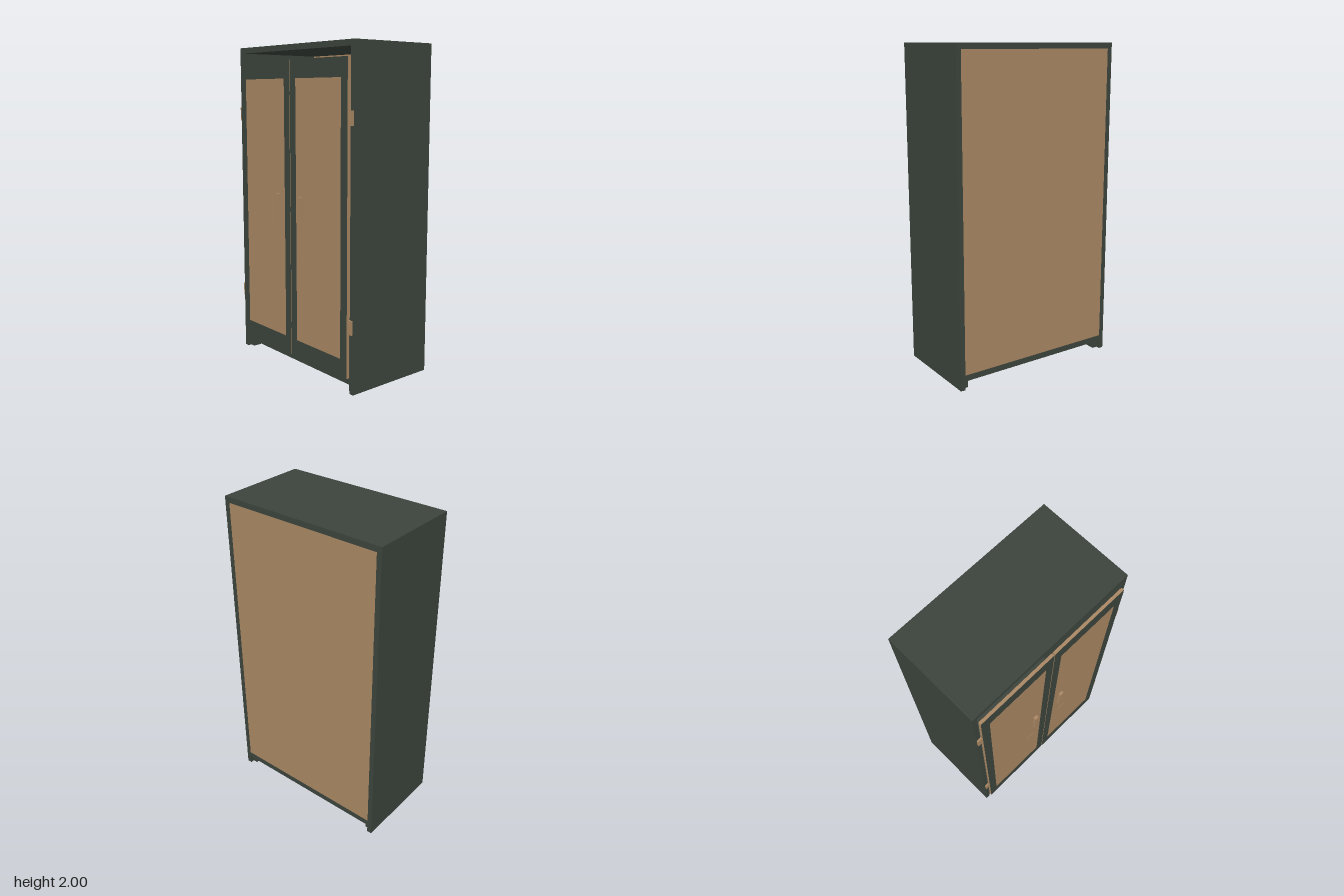
import * as THREE from 'three';

const dark = new THREE.MeshStandardMaterial({ color: 0x3c443c });
dark.name = 'dark green paint';
const wood = new THREE.MeshStandardMaterial({ color: 0xa98763 });
wood.name = 'tan wood';

// Box given by its minimum and maximum corners
function box(parent, name, material, [x0, y0, z0], [x1, y1, z1]) {
  const mesh = new THREE.Mesh(new THREE.BoxGeometry(x1 - x0, y1 - y0, z1 - z0), material);
  mesh.position.set((x0 + x1) / 2, (y0 + y1) / 2, (z0 + z1) / 2);
  mesh.name = name;
  parent.add(mesh);
  return mesh;
}

// Same box on both sides; s is +1 for the left, -1 for the right
function sideBox(parent, s, name, material, [x0, y0, z0], [x1, y1, z1]) {
  const a = Math.min(s * x0, s * x1), b = Math.max(s * x0, s * x1);
  return box(parent, name, material, [a, y0, z0], [b, y1, z1]);
}

const rectPoints = (x0, y0, x1, y1) => [
  new THREE.Vector2(x0, y0), new THREE.Vector2(x1, y0),
  new THREE.Vector2(x1, y1), new THREE.Vector2(x0, y1),
];

function createDoor(s) {
  const door = new THREE.Group();
  door.name = s > 0 ? 'leftDoor' : 'rightDoor';
  sideBox(door, s, 'doorPanel', wood, [0.003, 0.094, 0.283], [0.52, 1.91, 0.301]);

  // Painted border around the wooden panel
  const edge = s > 0 ? [0.003, 0.52] : [-0.52, -0.003];
  const inner = s > 0 ? [0.056, 0.465] : [-0.465, -0.056];
  const shape = new THREE.Shape(rectPoints(edge[0], 0.094, edge[1], 1.91));
  shape.holes.push(new THREE.Path(rectPoints(inner[0], 0.2, inner[1], 1.8)));
  const frame = new THREE.Mesh(
    new THREE.ExtrudeGeometry(shape, { depth: 0.001, bevelEnabled: false }), dark);
  frame.position.z = 0.301;
  frame.name = 'doorFrame';
  door.add(frame);

  // Handle and the flat plate below it
  sideBox(door, s, 'handle', wood, [0.096, 0.915, 0.3], [0.124, 1.1, 0.32]);
  sideBox(door, s, 'lowerPlate', wood, [0.113, 0.305, 0.3], [0.172, 0.745, 0.303]);

  // Hinges
  for (const y of [0.4, 1.58]) {
    sideBox(door, s, 'hinge', wood, [0.517, y - 0.042, 0.278], [0.547, y + 0.042, 0.291]);
  }
  return door;
}

export function createModel() {
  const model = new THREE.Group();
  model.name = 'wardrobe';

  // Carcass
  box(model, 'topBoard', dark, [-0.553, 1.965, -0.32], [0.553, 2, 0.28]);
  box(model, 'bottomBoard', dark, [-0.522, 0.055, -0.32], [0.522, 0.092, 0.28]);
  box(model, 'backPanel', wood, [-0.522, 0.092, -0.319], [0.522, 1.965, -0.305]);

  for (const s of [1, -1]) {
    sideBox(model, s, 'sideBoard', dark, [0.522, 0, -0.32], [0.553, 1.965, 0.28]);
    // Foot blocks against the inside of each side board
    for (const z of [-0.25, 0.21]) {
      sideBox(model, s, 'footBlock', dark, [0.49, 0, z - 0.045], [0.522, 0.055, z + 0.045]);
    }
    model.add(createDoor(s));
  }
  return model;
}
